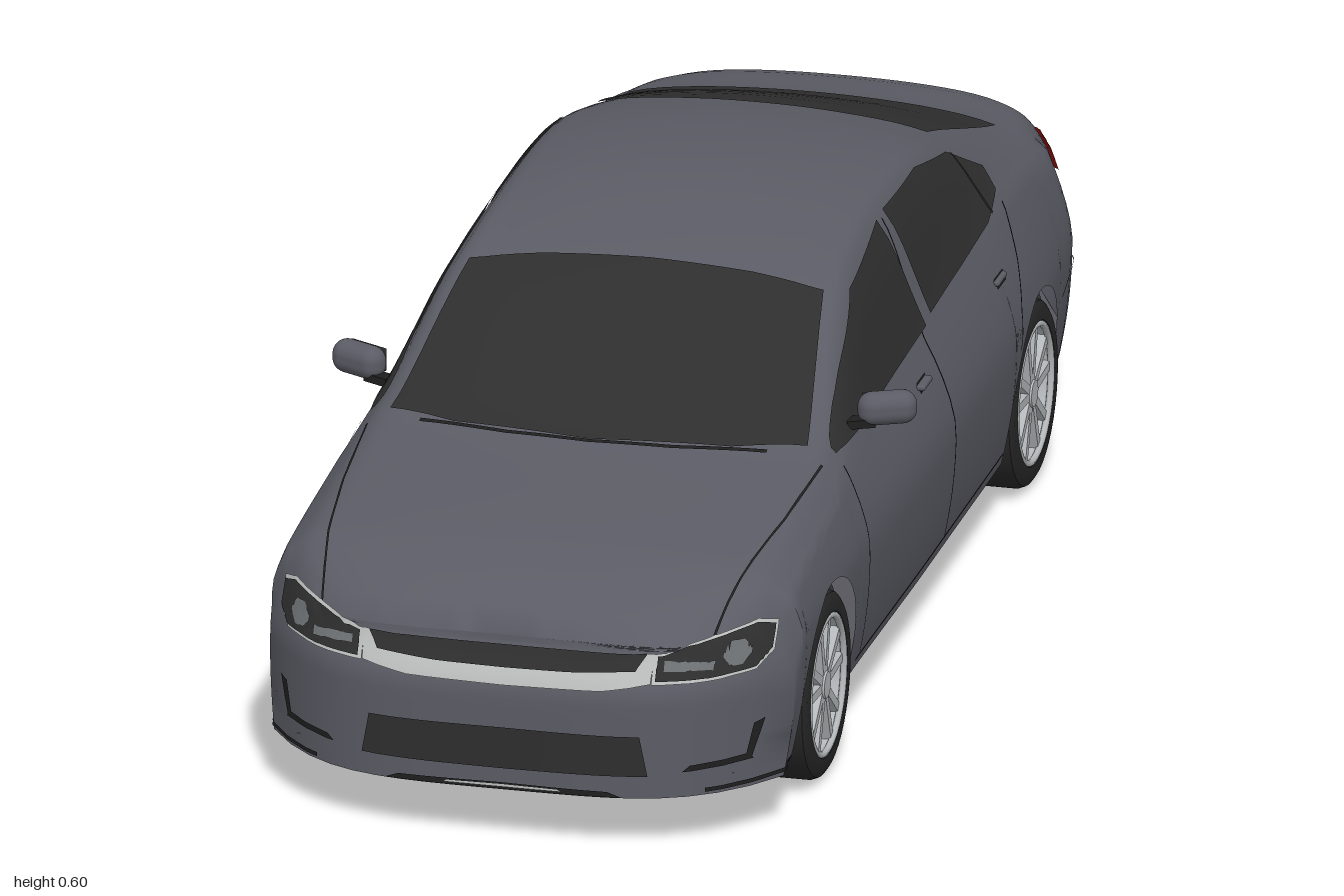
import * as THREE from 'three';
import { mergeGeometries, toCreasedNormals } from 'three/addons/utils/BufferGeometryUtils.js';
import { RoundedBoxGeometry } from 'three/addons/geometries/RoundedBoxGeometry.js';

const colours = {
  paint: 0x5b5b65, glass: 0x2e2e2e, rubber: 0x272727, trim: 0x1f1f1f, chrome: 0xbcbebe,
  alloy: 0xb4b8ba, tailRed: 0x8c0f0f, lamp: 0x6e7274, underbody: 0x55555c, metal: 0x858585,
};
const AXLES = [0.635, -0.535], ARCH = 0.148;

// Body stations: z, waist half width, shoulder x, shoulder y, roof edge x, roof edge y, centre y
const STATIONS = [
  [1, .378, .365, .257, .33, .283, .299], [.95, .38, .365, .286, .325, .312, .329],
  [.88, .382, .365, .31, .325, .338, .355], [.78, .384, .366, .33, .325, .36, .38],
  [.52, .385, .36, .36, .32, .398, .417], [.47, .385, .352, .375, .32, .405, .43],
  [.4, .385, .345, .39, .312, .425, .463], [.3, .386, .34, .4, .295, .48, .512],
  [.2, .387, .338, .402, .28, .53, .553], [.1, .388, .337, .405, .268, .558, .578],
  [-.05, .388, .337, .408, .262, .572, .602], [-.2, .388, .337, .412, .262, .57, .601],
  [-.35, .388, .338, .418, .264, .552, .583], [-.5, .386, .338, .425, .272, .51, .55],
  [-.62, .38, .335, .42, .285, .468, .512], [-.74, .37, .33, .405, .295, .432, .468],
  [-.82, .362, .325, .395, .29, .42, .448], [-.94, .35, .315, .38, .28, .41, .436],
  [-1, .343, .31, .37, .275, .4, .425],
];

const { lerp, smoothstep, clamp } = THREE.MathUtils;

// Smooth interpolation between stations
function station(z) {
  const S = STATIONS, last = S.length - 1;
  let i = 0;
  while (i < last - 1 && z < S[i + 1][0]) i++;
  const a = S[i], b = S[i + 1], p = S[Math.max(i - 1, 0)], q = S[Math.min(i + 2, last)];
  const h = b[0] - a[0], t = clamp((z - a[0]) / h, 0, 1), t2 = t * t, t3 = t2 * t;
  return a.map((v, k) => {
    const m0 = (b[k] - p[k]) / (b[0] - p[0]) * h, m1 = (q[k] - a[k]) / (q[0] - a[0]) * h;
    return (2 * t3 - 3 * t2 + 1) * v + (t3 - 2 * t2 + t) * m0 + (3 * t2 - 2 * t3) * b[k] + (t3 - t2) * m1;
  });
}

const baseY = z => 0.085 + 0.025 * smoothstep(-z, 0.7, 1) - 0.006 * smoothstep(z, 0.85, 1);
const inArch = z => AXLES.find(c => Math.abs(z - c) <= ARCH + 0.0001);
function lowerY(z) {
  const c = inArch(z);
  return c === undefined ? baseY(z) : 0.14 + Math.sqrt(Math.max(0, ARCH ** 2 - (z - c) ** 2));
}
function sideX(s, y) {
  const waist = Math.min(0.27, s[3] - 0.05);
  if (y < waist) return s[1] * (1 - 0.06 * ((waist - y) / 0.19) ** 2);
  return s[1] - (s[1] - s[2]) * ((y - waist) / (s[3] - waist)) ** 1.5;
}
// Rounds the nose and tail in plan and rakes them in profile
function warp(x, y, z) {
  const f = Math.max(0, (z - 0.8) / 0.2), r = Math.max(0, (-0.8 - z) / 0.2), ax = Math.abs(x);
  return [x, y, z - f * (0.17 * (ax / 0.38) ** 4 + 0.03 * smoothstep(y, 0.22, 0.3))
    + r * (0.14 * (ax / 0.345) ** 5 + 0.045 * smoothstep(y, 0.25, 0.42) + 0.015 * smoothstep(y, 0.225, 0.245)
      + 0.02 * (1 - smoothstep(y, 0.11, 0.17)))];
}
// One section, from the left sill over the top to the right sill
function section(z) {
  const s = station(z), [, , xs, ys, xe, ye, yt] = s, low = lowerY(z), side = [];
  for (let i = 0; i < 12; i++) {
    const y = lerp(low, ys, i / 12);
    side.push([sideX(s, y), y]);
  }
  const half = [[xs, ys], [xe, ye], [xe * 0.82, lerp(ye, yt, 0.5)], [xe * 0.45, lerp(ye, yt, 0.87)]];
  const mirror = list => list.map(([x, y]) => [-x, y]).reverse();
  const pts = [...half, [0, yt], ...mirror(half)].map(([x, y]) => new THREE.Vector3(x, y, 0));
  const top = new THREE.CatmullRomCurve3(pts).getPoints(40).map(p => [p.x, p.y]);
  return [...side, ...top, ...mirror(side)];
}

function grid(nu, nv, fn) {
  const pos = [], idx = [], w = nv + 1;
  for (let i = 0; i <= nu; i++) for (let j = 0; j <= nv; j++) pos.push(...fn(i, j));
  for (let i = 0; i < nu; i++) for (let j = 0; j < nv; j++) {
    const a = i * w + j, b = a + w;
    idx.push(a, b, b + 1, a, b + 1, a + 1);
  }
  const g = new THREE.BufferGeometry();
  g.setAttribute('position', new THREE.Float32BufferAttribute(pos, 3));
  g.setIndex(idx);
  g.computeVertexNormals();
  return g;
}

export function createModel() {
  const car = new THREE.Group(), M = {};
  car.name = 'saloonCar';
  for (const [name, color] of Object.entries(colours)) {
    M[name] = new THREE.MeshStandardMaterial({ color, side: THREE.DoubleSide });
    M[name].name = name;
  }
  const add = (name, geo, mat, parent = car, x = 0, y = 0, z = 0) => {
    const mesh = new THREE.Mesh(geo, mat);
    mesh.name = name;
    mesh.position.set(x, y, z);
    parent.add(mesh);
    return mesh;
  };

  // Body shell with wheel arches, nose and tail
  const zs = [];
  for (let i = 0; i <= 44; i++) {
    const z = 1 - i / 22;
    if (!AXLES.some(c => Math.abs(z - c) < 0.152)) zs.push(z);
  }
  for (const c of AXLES) {
    zs.push(c + ARCH + 0.0005, c - ARCH - 0.0005);
    for (let i = 0; i <= 22; i++) zs.push(c + ARCH * Math.cos(i / 22 * Math.PI));
  }
  zs.sort((a, b) => b - a);
  const rings = zs.map(section), n = rings[0].length - 1, end = zs.length - 1;
  const skin = grid(end, n, (i, j) => warp(...rings[i][j], zs[i]));
  const cap = (k, flip) => grid(n / 2, 20, (i, j) => {
    const [x, y] = rings[k][i];
    return warp(lerp(x, -x, (flip ? 20 - j : j) / 20), y, zs[k]);
  });
  const body = add('bodyShell', toCreasedNormals(mergeGeometries([skin, cap(0, false), cap(end, true)]), 0.8), M.paint);
  const cols = [-1, -0.85, -0.4, 0, 0.4, 0.85, 1];
  add('floorPan', grid(end, 6, (i, j) => {
    const z = zs[i], b = baseY(z), hw = inArch(z) === undefined ? sideX(station(z), b) : 0.26;
    return warp(hw * cols[j], b + (Math.abs(cols[j]) < 0.9 ? 0.025 : 0), z);
  }), M.underbody);

  // Thin panels laid onto the shell, spanned between two outlines seen along an axis
  const ray = new THREE.Raycaster();
  const at = (line, t) => {
    const f = t * (line.length - 1), i = Math.min(Math.floor(f), line.length - 2);
    return [0, 1].map(k => lerp(line[i][k], line[i + 1][k], f - i));
  };
  function panel(name, mat, axis, side, lo, hi, lift = 0.004, m = 6) {
    const nu = Math.ceil(20 / (lo.length - 1)) * (lo.length - 1);
    let prev = [0, 0.3, 0];
    add(name, grid(nu, m, (i, j) => {
      const a = at(lo, i / nu), b = at(hi, i / nu), u = lerp(a[0], b[0], j / m), v = lerp(a[1], b[1], j / m);
      const o = { x: [2 * side, v, u], y: [u, 2, v], z: [u, v, 2 * side] }[axis];
      const d = { x: [-side, 0, 0], y: [0, -1, 0], z: [0, 0, -side] }[axis];
      ray.set(new THREE.Vector3(...o), new THREE.Vector3(...d));
      const hit = ray.intersectObject(body)[0];
      if (hit) {
        const nrm = hit.face.normal.clone();
        if (nrm.dot(ray.ray.direction) > 0) nrm.negate();
        prev = hit.point.addScaledVector(nrm, lift).toArray();
      }
      return prev;
    }), mat);
  }
  const seam = (name, axis, side, pts, du, dv) =>
    panel(name, M.trim, axis, side, pts, pts.map(([u, v]) => [u + du, v + dv]), 0.003, 1);
  // Outline symmetric about the centre, given from the middle outwards
  const sym = pts => [...pts.slice(1).reverse().map(([u, v]) => [-u, v]), ...pts];

  // Windscreen and rear window
  panel('windscreen', M.glass, 'y', 1, sym([[0, .512], [.2, .49], [.3, .455]]), sym([[0, .168], [.15, .173], [.255, .185]]), 0.004, 8);
  panel('rearWindow', M.glass, 'y', 1, sym([[0, -.772], [.15, -.768], [.263, -.75]]), sym([[0, -.453], [.12, -.455], [.237, -.464]]), 0.004, 8);
  seam('wiper', 'y', 1, sym([[0, .511], [.12, .504], [.25, .482]]), 0, 0.008);

  // Grilles
  panel('grilleSurround', M.chrome, 'z', 1, sym([[0, .234], [.14, .236], [.207, .246]]), sym([[0, .284], [.14, .284], [.209, .286]]));
  panel('upperGrille', M.glass, 'z', 1, sym([[0, .256], [.1, .257], [.185, .262]]), sym([[0, .286], [.1, .286], [.199, .285]]), 0.007);
  panel('lowerGrille', M.glass, 'z', 1, sym([[0, .112], [.205, .113]]), sym([[0, .173], [.194, .172]]));
  panel('frontLip', M.trim, 'z', 1, sym([[0, .081], [.17, .081]]), sym([[0, .091], [.15, .089]]));
  panel('frontLipStrip', M.chrome, 'z', 1, sym([[0, .085], [.085, .085]]), sym([[0, .089], [.08, .088]]), 0.006, 1);
  // Tail panel details
  panel('plateRecess', M.trim, 'z', -1, [[-.098, .18], [.098, .18]], [[-.112, .224], [.112, .224]], 0.003);
  panel('plateField', M.paint, 'z', -1, [[-.096, .182], [.096, .182]], [[-.109, .222], [.109, .222]], 0.005);
  panel('rearDiffuser', M.trim, 'z', -1, sym([[0, .112], [.13, .112], [.25, .112]]), sym([[0, .128], [.13, .128], [.235, .146]]));
  seam('bootLowerSeam', 'z', -1, sym([[0, .258], [.27, .262]]), 0, 0.003);

  for (const s of [1, -1]) {
    const mx = pts => pts.map(([u, v]) => [u * s, v]);
    // Side glazing and door seams
    panel('frontSideWindow', M.glass, 'x', s, [[.432, .4], [.3, .4], [.15, .404], [-.06, .409]],
      [[.432, .407], [.3, .472], [.15, .537], [-.05, .564]]);
    panel('rearSideWindow', M.glass, 'x', s, [[-.094, .415], [-.27, .421], [-.42, .428], [-.508, .445]],
      [[-.088, .566], [-.27, .56], [-.42, .528], [-.518, .474]]);
    panel('quarterWindowBar', M.trim, 'x', s, [[-.443, .432], [-.425, .524]], [[-.45, .433], [-.432, .521]], 0.006, 1);
    seam('frontDoorSeam', 'x', s, [[.435, .385], [.44, .25], [.435, .11]], 0.003, 0);
    seam('centreDoorSeam', 'x', s, [[-.072, .56], [-.038, .4], [-.032, .11]], 0.004, 0);
    seam('rearDoorSeam', 'x', s, [[-.505, .43], [-.47, .36], [-.425, .3], [-.405, .25]], 0.004, 0);
    seam('sillSeam', 'x', s, [[.46, .105], [0, .107], [-.36, .108]], 0, 0.004);
    seam('bumperSeam', 'x', s, [[-.69, .22], [-.78, .235], [-.87, .24]], 0, 0.003);
    seam('frontLipSide', 'x', s, [[.8, .087], [.95, .084]], 0, 0.006);
    seam('bonnetSeam', 'y', 1, mx([[.325, .48], [.316, .65], [.3, .8], [.28, .91]]), 0.003 * s, 0);
    for (const z of [0.04, -0.38]) {
      panel('handleRecess', M.trim, 'x', s, [[z - .022, .355], [z + .022, .355]], [[z - .022, .37], [z + .022, .37]], 0.002, 2);
      add('doorHandle', new RoundedBoxGeometry(.014, .009, .046, 2, .004), M.paint, car, s * .363, .364, z);
    }
    // Headlamps and fog lamp slots
    panel('headlampFrame', M.chrome, 'z', 1, mx([[.208, .245], [.28, .245], [.335, .249], [.353, .268]]),
      mx([[.208, .285], [.27, .298], [.33, .311], [.353, .304]]));
    panel('headlampGlass', M.glass, 'z', 1, mx([[.213, .249], [.28, .249], [.333, .253], [.349, .271]]),
      mx([[.213, .281], [.27, .294], [.329, .307], [.349, .3]]), 0.007);
    panel('headlampReflector', M.lamp, 'z', 1, mx([[.222, .262], [.285, .258]]), mx([[.222, .275], [.285, .27]]), 0.009, 2);
    panel('headlampProjector', M.lamp, 'z', 1, mx([[.293, .272], [.302, .26], [.317, .26], [.326, .272]]),
      mx([[.293, .28], [.302, .291], [.317, .291], [.326, .28]]), 0.0095, 3);
    panel('fogSlot', M.trim, 'z', 1, mx([[.25, .117], [.335, .121]]), mx([[.26, .126], [.328, .13]]), 0.003, 2);
    panel('fogSlotSide', M.trim, 'z', 1, mx([[.332, .121], [.347, .177]]), mx([[.326, .128], [.335, .173]]), 0.003, 2);
    // Tail lamps wrapping the corner
    panel('tailLamp', M.tailRed, 'z', -1, mx([[.155, .348], [.2, .337], [.306, .334]]),
      mx([[.15, .368], [.22, .386], [.3, .389]]), 0.005);
    panel('tailLampSide', M.tailRed, 'x', s, [[-.93, .334], [-.89, .335], [-.85, .346]], [[-.93, .386], [-.89, .391], [-.853, .382]], 0.005);

    // Door mirror
    const mirror = new THREE.Group();
    mirror.name = 'doorMirror';
    mirror.position.set(s * 0.381, 0.433, 0.318);
    mirror.rotation.y = s * 0.45;
    add('mirrorHousing', new RoundedBoxGeometry(.084, .048, .042, 6, .0205), M.paint, mirror);
    add('mirrorGlass', new RoundedBoxGeometry(.064, .034, .004, 2, .002), M.glass, mirror, 0, 0, -.021);
    add('mirrorArm', new THREE.BoxGeometry(.04, .012, .022), M.trim, mirror, -s * .04, -.018, .003);
    car.add(mirror);

    // Exhaust tip and silencer
    const tip = add('exhaustTip', new THREE.CylinderGeometry(.015, .015, .06, 20, 1, true).rotateX(Math.PI / 2), M.chrome, car, s * .2, .128, -.969);
    tip.scale.x = 1.8;
    add('silencer', new RoundedBoxGeometry(.12, .04, .12, 3, .018), M.metal, car, s * .19, .107, -.8);

    for (const z of AXLES) {
      // Wheel well
      add('wheelWell', new THREE.CylinderGeometry(.1475, .1475, .105, 28, 1, true, -.35, Math.PI + .7).rotateZ(Math.PI / 2), M.underbody, car, s * .303, .14, z);
      add('wheelWellWall', new THREE.CircleGeometry(.147, 28, -.35, Math.PI + .7).rotateY(Math.PI / 2), M.underbody, car, s * .251, .14, z);
      car.add(makeWheel(s, z));
    }
  }

  // Wheel built facing +x, then turned for the other side
  function makeWheel(s, z) {
    const wheel = new THREE.Group();
    wheel.name = 'wheel';
    wheel.position.set(s * 0.328, 0.135, z);
    if (s < 0) wheel.rotation.y = Math.PI;
    const spin = g => g.rotateZ(-Math.PI / 2);
    const profile = [[.1, -.05], [.122, -.05], [.131, -.044], [.135, -.034], [.135, .034], [.131, .044],
      [.122, .05], [.104, .05], [.1, .044], [.1, -.05]].map(p => new THREE.Vector2(...p));
    add('tyre', toCreasedNormals(spin(new THREE.LatheGeometry(profile, 40)), 0.6), M.rubber, wheel);
    add('rimBarrel', spin(new THREE.CylinderGeometry(.099, .099, .092, 36, 1, true)), M.alloy, wheel);
    add('rimLip', new THREE.TorusGeometry(.099, .005, 8, 40).rotateY(Math.PI / 2), M.alloy, wheel, .046);
    add('brakeDisc', spin(new THREE.CylinderGeometry(.07, .07, .01, 30)), M.metal, wheel, .005);
    add('wheelBack', spin(new THREE.CylinderGeometry(.098, .098, .006, 30)), M.underbody, wheel, -.015);
    add('hub', spin(new THREE.CylinderGeometry(.019, .024, .016, 20)), M.alloy, wheel, .04);
    for (let i = 0; i < 10; i++) {
      const angle = Math.floor(i / 2) * Math.PI * 0.4 + (i % 2 ? 0.25 : -0.25);
      const spoke = add('spoke', new THREE.BoxGeometry(.014, .084, .013).translate(0, .056, 0), M.alloy, wheel, .038);
      spoke.rotation.x = angle;
    }
    return wheel;
  }

  // Running gear under the floor
  for (const z of AXLES) {
    add('axle', new THREE.CylinderGeometry(.012, .012, .58, 12).rotateZ(Math.PI / 2), M.metal, car, 0, .115, z);
    add('subframe', new THREE.BoxGeometry(.36, .02, .05), M.underbody, car, 0, .105, z + .07);
  }
  const run = [[.03, .1, .5], [.03, .1, 0], [.03, .098, -.4], [.06, .098, -.62], [.17, .102, -.78]];
  for (const s of [1, -1]) {
    const path = new THREE.CatmullRomCurve3(run.map(([x, y, z]) => new THREE.Vector3(x * s, y, z)));
    add('exhaustPipe', new THREE.TubeGeometry(path, 30, .011, 10), M.metal);
  }
  return car;
}
